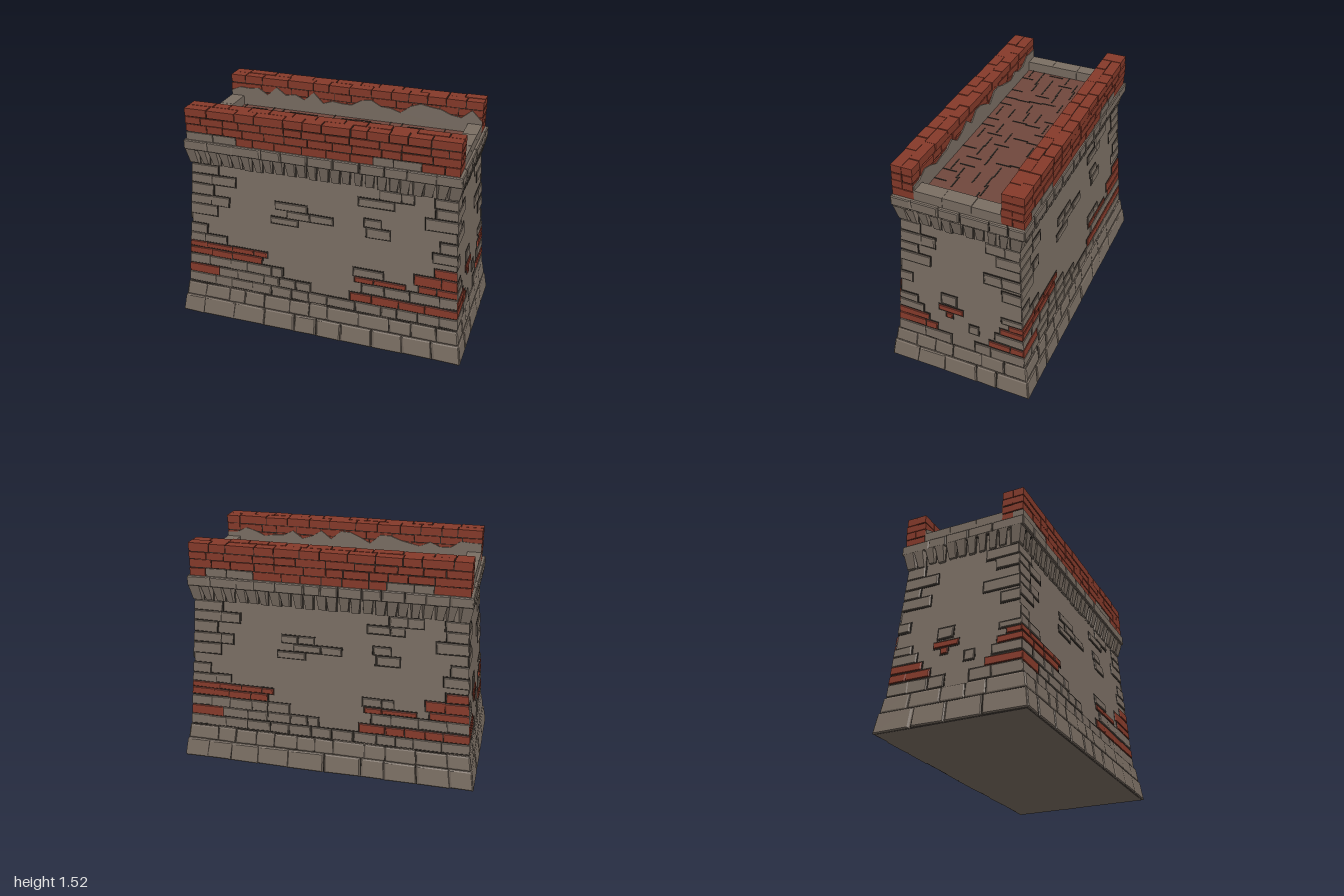
import * as THREE from 'three';

const mats = {
  stone: new THREE.MeshStandardMaterial({ color: 0x7a6e63 }),
  brick: new THREE.MeshStandardMaterial({ color: 0x863a2a }),
  floor: new THREE.MeshStandardMaterial({ color: 0x70483d }),
  joint: new THREE.MeshStandardMaterial({ color: 0x2f2a25 }),
};
for (const k in mats) mats[k].name = k;

export function createModel() {
  const group = new THREE.Group();
  group.name = 'stoneWallSegment';
  let seed = 7;
  const rnd = () => (seed = (seed * 16807) % 2147483647) / 2147483647;
  const jit = (s) => (rnd() - 0.5) * 2 * s;

  // Triangles are gathered per part and colour, then turned into flat meshes
  const parts = {};
  const quad = (part, mat, a, b, c, d) => {
    const key = part + ':' + mat;
    (parts[key] ||= []).push(...a, ...b, ...c, ...a, ...c, ...d);
  };

  // Tapered four-sided sections: half sizes at a bottom and a top height
  const section = (y0, x0, z0, y1, x1, z1) => ({ y0, x0, z0, y1, x1, z1 });
  const base = section(0, 0.986, 0.486, 0.235, 0.95, 0.453);
  const body = section(0.235, 0.948, 0.44, 1.135, 0.884, 0.382);
  const ledge = section(1.235, 0.905, 0.42, 1.305, 0.905, 0.42);

  const half = (s, face, y) => {
    const k = (y - s.y0) / (s.y1 - s.y0);
    const x = s.x0 + (s.x1 - s.x0) * k, z = s.z0 + (s.z1 - s.z0) * k;
    return face % 2 ? [z, x] : [x, z];
  };
  // Point on a face: t runs -1..1 along it, off stands out from it
  const point = (s, face, t, y, off) => {
    const [w, d] = half(s, face, y);
    const x = t * (w + off), z = d + off;
    return [[x, y, z], [z, y, -x], [-x, y, -z], [-z, y, x]][face];
  };

  // Bevelled, slightly crooked block on a face, from u0 to u1 along it
  function block(part, s, face, u0, u1, y0, y1, h, mat, gap = 0.004, bevel = 0.006, crook = 0.004) {
    const w = half(s, face, (y0 + y1) / 2)[0];
    const endL = u0 <= -w + 0.012, endR = u1 >= w - 0.012;
    const us = [endL ? -w : u0 + gap, endR ? w : u1 - gap];
    const corners = [[0, 0], [1, 0], [1, 1], [0, 1]].map(([i, j]) => {
      const atEnd = i ? endR : endL;
      return { u: us[i] + (atEnd ? 0 : jit(crook)), y: (j ? y1 - gap : y0 + gap) + jit(crook * 0.7), su: i ? -1 : 1, sy: j ? -1 : 1 };
    });
    const ring = (off, inset) => corners.map((c) =>
      point(s, face, (c.u + c.su * inset) / w, Math.max(0, c.y + c.sy * inset), off));
    const rings = [ring(-0.03, 0), ring(h * 0.55, 0), ring(h, bevel)];
    for (let r = 0; r < 2; r++) for (let i = 0; i < 4; i++) {
      const j = (i + 1) % 4;
      quad(part, mat, rings[r][i], rings[r][j], rings[r + 1][j], rings[r + 1][i]);
    }
    quad(part, mat, ...rings[2]);
  }

  // Split a length into uneven stones
  function split(u0, u1, w, fn) {
    for (let u = u0; u < u1 - 0.001;) {
      let v = u + w * (0.7 + 0.6 * rnd());
      if (u1 - v < w * 0.5) v = u1;
      fn(u, v);
      u = v;
    }
  }

  // Plain faces behind the stones
  function core(part, s, mat, off) {
    for (let f = 0; f < 4; f++)
      quad(part, mat, point(s, f, -1, s.y0, off), point(s, f, 1, s.y0, off), point(s, f, 1, s.y1, off), point(s, f, -1, s.y1, off));
  }
  function box(name, mat, x0, x1, y0, y1, z0, z1, parent = group) {
    const m = new THREE.Mesh(new THREE.BoxGeometry(x1 - x0, y1 - y0, z1 - z0), mats[mat]);
    m.position.set((x0 + x1) / 2, (y0 + y1) / 2, (z0 + z1) / 2);
    m.name = name;
    parent.add(m);
    return m;
  }

  // Foot: two projecting courses on a dark core
  core('foot', base, 'joint', 0);
  box('underside', 'stone', -0.985, 0.985, 0, 0.01, -0.485, 0.485);
  for (let f = 0; f < 4; f++) for (const [y0, y1, h, w] of [[0, 0.135, 0.014, 0.2], [0.135, 0.235, 0.009, 0.17]]) {
    const L = half(base, f, (y0 + y1) / 2)[0];
    split(-L, L, w, (a, b) => block('foot', base, f, a, b, y0, y1, h, 'stone', 0.003, 0.008));
  }

  // Body: plaster with exposed stone and brick, [y0, y1, u0, u1, colour]
  core('plaster', body, 'stone', 0);
  const S = 'stone', B = 'brick';
  const longRows = [
    [0.235, 0.31, -1, 1, S],
    [0.31, 0.38, -1, -0.72, B], [0.31, 0.38, -0.72, -0.05, S], [0.31, 0.375, 0.22, 1, B],
    [0.38, 0.455, -1, -0.25, S], [0.38, 0.455, 0.3, 1, S],
    [0.455, 0.51, -1, -0.4, B], [0.51, 0.555, -1, -0.36, B],
    [0.455, 0.495, 0.25, 0.6, B], [0.5, 0.56, 0.24, 0.45, S], [0.455, 0.51, 0.68, 1, B], [0.51, 0.585, 0.65, 1, B],
    [0.555, 0.62, -1, -0.66, S], [0.585, 0.65, 0.78, 1, B],
    [0.62, 0.69, -1, -0.8, S], [0.69, 0.76, 0.76, 1, S],
    [0.76, 0.84, -1, -0.72, S], [0.76, 0.84, 0.8, 1, S],
    [0.84, 0.91, -1, -0.63, S], [0.91, 0.99, -1, -0.74, S], [0.91, 0.99, 0.7, 1, S],
    [0.99, 1.06, -1, -0.58, S], [0.99, 1.06, 0.76, 1, S], [1.0, 1.06, 0.26, 0.5, S],
    [1.06, 1.13, -1, -0.7, S], [1.06, 1.13, 0.4, 0.62, S], [1.06, 1.13, 0.75, 1, S],
    [0.78, 0.83, -0.33, -0.14, S], [0.83, 0.885, -0.22, 0.1, S], [0.885, 0.94, -0.3, -0.08, S],
    [0.79, 0.86, 0.32, 0.48, S], [0.86, 0.92, 0.3, 0.42, S],
  ];
  const shortRows = [
    [0.235, 0.32, -1, -0.06, S], [0.235, 0.32, 0.1, 1, S],
    [0.32, 0.38, -1, -0.16, B], [0.32, 0.375, 0.2, 1, B],
    [0.38, 0.435, -1, -0.22, B], [0.38, 0.45, 0.06, 0.13, S], [0.38, 0.45, 0.24, 1, S],
    [0.435, 0.5, -1, -0.26, S], [0.45, 0.5, 0.27, 1, B], [0.5, 0.545, 0.33, 1, B],
    [0.5, 0.545, -0.15, 0.02, B], [0.455, 0.5, -0.1, -0.05, B],
    [0.5, 0.56, -1, -0.3, S], [0.545, 0.59, 0.28, 1, S], [0.56, 0.64, -0.13, -0.02, S],
    [0.66, 0.73, -1, -0.33, S], [0.72, 0.8, 0.28, 1, S], [0.82, 0.9, -1, -0.2, S],
    [0.82, 0.9, 0.16, 1, S], [0.9, 0.97, -1, -0.28, S], [0.97, 1.05, -1, -0.16, S],
    [0.97, 1.05, 0.24, 1, S], [1.05, 1.13, -1, -0.26, S], [1.05, 1.13, 0.17, 1, S],
  ];
  for (let f = 0; f < 4; f++) for (const [y0, y1, a, b, mat] of f % 2 ? shortRows : longRows) {
    const L = half(body, f, (y0 + y1) / 2)[0];
    split(Math.max(a, -L), Math.min(b, L), 0.15, (u, v) => {
      block('body', body, f, u, v, y0, y1, 0.003, 'joint', -0.004, 0, 0.002);
      block('body', body, f, u, v, y0, y1, 0.009, mat, 0.003, 0.004);
    });
  }

  // Corbels: wedges that widen and lean out upwards
  const frieze = section(1.13, 0.884, 0.382, 1.24, 0.884, 0.382);
  core('frieze', frieze, 'stone', 0.004);
  for (let f = 0; f < 4; f++) {
    const L = half(frieze, f, 1.13)[0], n = f % 2 ? 11 : 24;
    for (let i = 0; i < n; i++) {
      const end = i === 0 ? -1 : i === n - 1 ? 1 : 0;
      const c = -L + (2 * L * (i + 0.5)) / n + (end ? 0 : jit(0.006));
      const pt = (side, y, w, off) => point(frieze, f, end === side ? side : (c + side * w) / L, y, off);
      const yb = 1.13 + jit(0.006), w = 0.026 + jit(0.004);
      const lo = [pt(-1, yb, w - 0.004, 0), pt(1, yb, w - 0.004, 0)];
      const mid = [pt(-1, yb + 0.004, w - 0.005, 0.014), pt(1, yb + 0.004, w - 0.005, 0.014)];
      const hi = [pt(-1, 1.24, w + 0.003, 0.036), pt(1, 1.24, w + 0.003, 0.036)];
      const back = [pt(-1, 1.24, w + 0.003, 0), pt(1, 1.24, w + 0.003, 0)];
      quad('corbels', 'stone', lo[0], lo[1], mid[1], mid[0]);
      quad('corbels', 'stone', mid[0], mid[1], hi[1], hi[0]);
      quad('corbels', 'stone', lo[0], mid[0], hi[0], back[0]);
      quad('corbels', 'stone', mid[1], lo[1], back[1], hi[1]);
      // Dark seam beside each corbel
      if (end < 1) {
        const s = (x, y) => point(frieze, f, x / L, y, 0.006);
        quad('corbels', 'joint', s(c + w - 0.003, yb), s(c + w + 0.007, yb), s(c + w + 0.011, 1.238), s(c + w, 1.238));
      }
    }
  }

  // Ledge course under the parapets
  box('ledgeCore', 'joint', -0.904, 0.904, 1.238, 1.3, -0.419, 0.419);
  for (let f = 0; f < 4; f++) {
    const L = half(ledge, f, 1.27)[0];
    split(-L, L, 0.15, (a, b) => block('ledge', ledge, f, a, b, 1.235, 1.308, 0.013, 'stone', 0.002, 0.006, 0.003));
  }

  // Walkway floor with scattered open joints
  box('walkway', 'floor', -0.81, 0.81, 1.29, 1.31, -0.285, 0.285);
  const joints = new THREE.Group();
  joints.name = 'walkwayJoints';
  group.add(joints);
  for (let i = 0; i < 17; i++) for (let j = 0; j < 6; j++) {
    const x = -0.77 + i * 0.095 + jit(0.012), z = -0.235 + j * 0.094 + jit(0.012), r = rnd();
    if (r < 0.42) box('joint', 'joint', x - 0.004, x + 0.004, 1.308, 1.313, z - 0.05, z + 0.05, joints);
    else if (r < 0.75) box('joint', 'joint', x - 0.055, x + 0.055, 1.308, 1.313, z - 0.004, z + 0.004, joints);
  }

  // Low curbs closing the walkway ends
  for (const s of [-1, 1]) for (let i = 0; i < 3; i++) {
    const z = -0.28 + i * 0.187;
    box('endCurb', 'stone', s * 0.85 - 0.047, s * 0.85 + 0.047, 1.295, 1.373 + jit(0.003), z + 0.001, z + 0.186);
  }

  // Brick parapets, two bricks thick, with worn plaster
  const rowsY = [1.305, 1.362, 1.416, 1.467, 1.525];
  for (const side of [1, -1]) {
    const parapet = new THREE.Group();
    parapet.name = side > 0 ? 'frontParapet' : 'backParapet';
    parapet.rotation.y = side > 0 ? 0 : Math.PI;
    group.add(parapet);
    box('parapetCore', 'joint', -0.89, 0.89, 1.3, 1.517, 0.287, 0.413, parapet);
    for (let r = 0; r < 4; r++) for (const [z0, z1] of [[0.28, 0.349], [0.351, 0.42]])
      split(-0.9, 0.9, 0.15, (a, b) => {
        const c = (a + b) / 2;
        const worn = r === 0 && z0 > 0.3 && ((c > 0.42 && c < 0.7) || (c > -0.83 && c < -0.5));
        const m = box(worn ? 'wornStone' : 'brick', worn ? 'stone' : 'brick', a + 0.003, b - 0.003,
          rowsY[r] + 0.003, rowsY[r + 1] - 0.003 + jit(0.002), z0 + jit(0.003), z1 + jit(0.003), parapet);
        m.rotation.z = jit(0.012);
      });
    // Ragged plaster on the walkway side
    const edge = new THREE.Shape();
    edge.moveTo(-0.895, 1.3);
    edge.lineTo(0.895, 1.3);
    for (let i = 0; i <= 26; i++) edge.lineTo(0.895 - (1.79 * i) / 26, 1.425 + jit(0.042));
    const plaster = new THREE.Mesh(new THREE.ExtrudeGeometry(edge, { depth: 0.008, bevelEnabled: false }), mats.stone);
    plaster.name = 'innerPlaster';
    plaster.position.z = 0.273;
    parapet.add(plaster);
  }

  for (const key in parts) {
    const [part, mat] = key.split(':');
    const g = new THREE.BufferGeometry();
    g.setAttribute('position', new THREE.Float32BufferAttribute(parts[key], 3));
    g.computeVertexNormals();
    const mesh = new THREE.Mesh(g, mats[mat]);
    mesh.name = part + mat[0].toUpperCase() + mat.slice(1);
    group.add(mesh);
  }
  return group;
}
